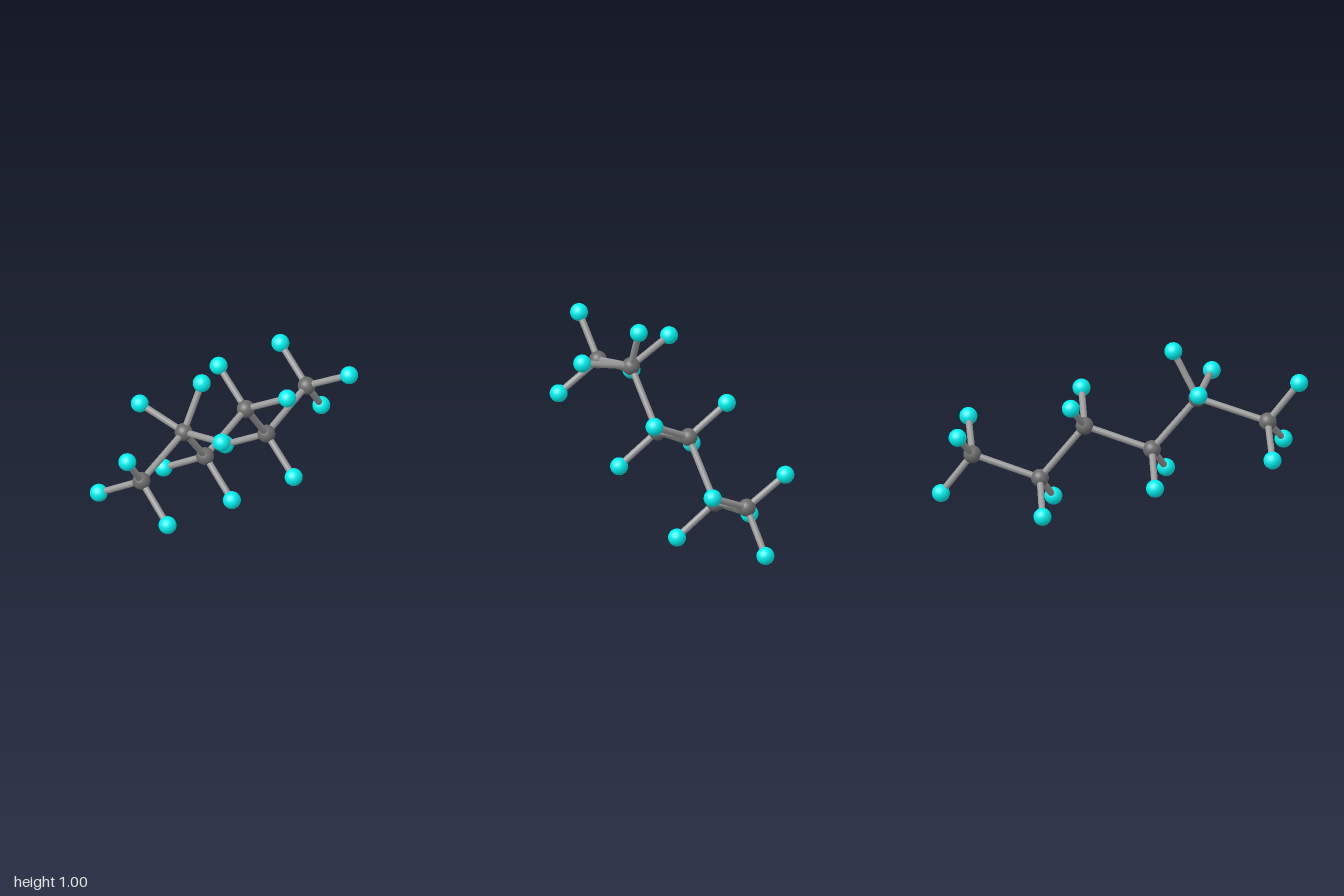
import * as THREE from 'three';

const ATOM_RADIUS = 0.048;
const BOND_RADIUS = 0.018;

// Each chain atom: its position and the outer atoms bonded to it
const CHAIN = [
  { at: [-0.79, 0.595, 0.06], outer: [[-0.953, 0.813, 0.098], [-0.868, 0.463, -0.17], [-0.828, 0.422, 0.273]] },
  { at: [-0.41, 0.706, 0.038], outer: [[-0.474, 0.815, -0.213], [-0.276, 0.955, 0.052], [-0.427, 0.764, 0.315]] },
  { at: [-0.173, 0.412, -0.01], outer: [[-0.242, 0.277, -0.241], [-0.203, 0.235, 0.2]] },
  { at: [0.19, 0.522, -0.03], outer: [[0.218, 0.694, -0.241], [0.259, 0.65, 0.2]] },
  { at: [0.423, 0.225, -0.08], outer: [[0.357, 0.093, -0.311], [0.397, 0.049, 0.13]] },
  { at: [0.787, 0.338, -0.103], outer: [[0.82, 0.505, -0.313], [0.861, 0.464, 0.13], [0.951, 0.116, -0.138]] },
];

export function createModel() {
  const model = new THREE.Group();
  model.name = 'moleculeModel';

  const chainMaterial = new THREE.MeshStandardMaterial({ color: 0x6c6c6c });
  const outerMaterial = new THREE.MeshStandardMaterial({ color: 0x00eeee });
  const bondMaterial = new THREE.MeshStandardMaterial({ color: 0x999999 });
  const ball = new THREE.SphereGeometry(ATOM_RADIUS, 32, 20);
  const rod = new THREE.CylinderGeometry(BOND_RADIUS, BOND_RADIUS, 1, 20);
  const up = new THREE.Vector3(0, 1, 0);

  function addAtom(name, position, material) {
    const atom = new THREE.Mesh(ball, material);
    atom.name = name;
    atom.position.copy(position);
    model.add(atom);
  }

  // Rod stretched between two atom centres
  function addBond(name, from, to) {
    const span = to.clone().sub(from);
    const bond = new THREE.Mesh(rod, bondMaterial);
    bond.name = name;
    bond.position.copy(from).addScaledVector(span, 0.5);
    bond.scale.y = span.length();
    bond.quaternion.setFromUnitVectors(up, span.normalize());
    model.add(bond);
  }

  let previous = null;
  CHAIN.forEach(({ at, outer }, i) => {
    // Zigzag backbone
    const centre = new THREE.Vector3(...at);
    addAtom(`chainAtom${i + 1}`, centre, chainMaterial);
    if (previous) addBond(`chainBond${i}`, previous, centre);
    previous = centre;

    // Side branches
    outer.forEach((p, j) => {
      const end = new THREE.Vector3(...p);
      addAtom(`outerAtom${i + 1}_${j + 1}`, end, outerMaterial);
      addBond(`outerBond${i + 1}_${j + 1}`, centre, end);
    });
  });

  return model;
}
